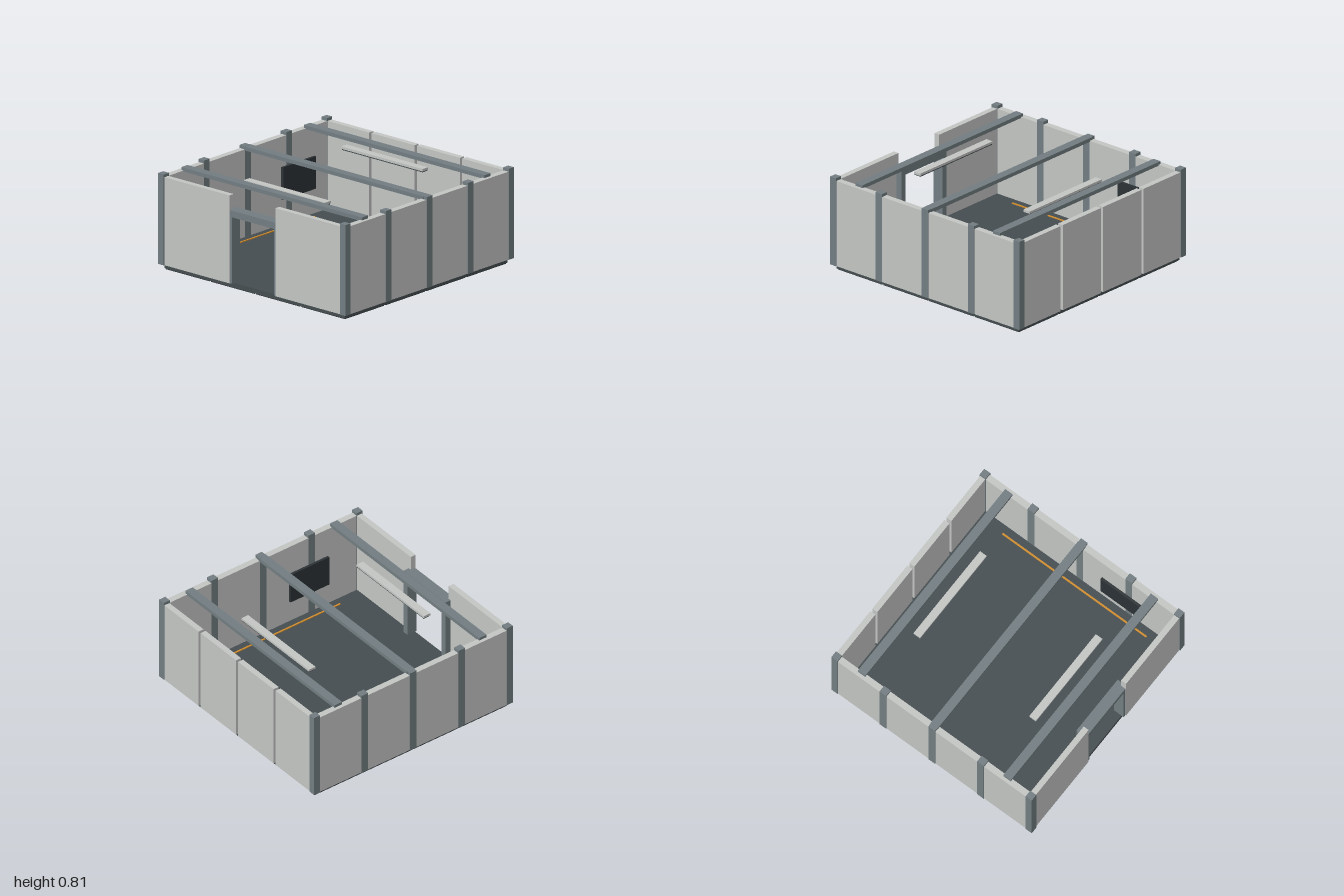
import * as THREE from 'three';

const material = (name, color) => {
  const m = new THREE.MeshStandardMaterial({ color });
  m.name = name;
  return m;
};

export function createModel() {
  const panelGrey = material('pale wall grey', 0xc3c5c3);
  const frameGrey = material('frame steel grey', 0x727d81);
  const floorGrey = material('dark floor grey', 0x454d50);
  const baseDark = material('underside dark grey', 0x33393c);
  const screenDark = material('screen dark', 0x2c3236);
  const orange = material('guide orange', 0xd08c2c);

  const room = new THREE.Group();
  room.name = 'room';

  // Box given by its minimum and maximum on each axis
  const box = (name, mat, [x0, x1], [y0, y1], [z0, z1]) => {
    const mesh = new THREE.Mesh(new THREE.BoxGeometry(x1 - x0, y1 - y0, z1 - z0), mat);
    mesh.position.set((x0 + x1) / 2, (y0 + y1) / 2, (z0 + z1) / 2);
    mesh.name = name;
    room.add(mesh);
    return mesh;
  };
  const around = (c, half) => [c - half, c + half];

  const floorTop = 0.048;
  const wallY = [0.045, 0.78];
  const postY = [0.045, 0.805];
  const bays = [-0.7275, -0.2425, 0.2425, 0.7275];

  // Floor slab on a four by four set of shallow base tiles
  box('floor', floorGrey, [-0.965, 0.965], [0.009, floorTop], [-0.965, 0.965]);
  for (const i of [-1.5, -0.5, 0.5, 1.5])
    for (const j of [-1.5, -0.5, 0.5, 1.5])
      box('baseTile', baseDark, around(i * 0.4825, 0.233), [0, 0.009], around(j * 0.4825, 0.233));

  // Back wall panels, with open joints between them
  for (const x of bays) box('backPanel', panelGrey, around(x, 0.23), wallY, [-0.995, -0.945]);

  for (const s of [-1, 1]) {
    // Side wall panels, corner posts and intermediate posts
    for (const z of bays) box('sidePanel', panelGrey, around(s * 0.968, 0.027), wallY, around(z, 0.23));
    for (const z of [-0.97, 0.97]) box('cornerPost', frameGrey, around(s * 0.97, 0.03), postY, around(z, 0.03));
    for (const z of [-0.4875, 0, 0.4875]) box('sidePost', frameGrey, around(s * 0.97, 0.03), postY, around(z, 0.033));

    // Front wall on each side of the doorway
    box('frontPanel', panelGrey, around(s * 0.593, 0.348), wallY, [0.943, 0.992]);
    box('doorJamb', frameGrey, around(s * 0.246, 0.024), [0.045, 0.602], [0.89, 0.985]);

    // Guide strip on the floor
    box('guideStrip', orange, around(s * 0.87, 0.0075), [floorTop, 0.055], [-0.72, 0.72]);

    // Hanging light bar with a dark lower edge
    box('lightBar', panelGrey, [-0.435, 0.435], [0.755, 0.775], around(s * 0.578, 0.033));
    box('lightTrim', floorGrey, [-0.43, 0.43], [0.746, 0.755], around(s * 0.578, 0.03));
  }

  // Door header
  box('doorHeader', frameGrey, [-0.27, 0.27], [0.6, 0.655], [0.89, 0.985]);

  // Roof beams
  for (const z of [-0.727, 0, 0.727])
    box('roofBeam', frameGrey, [-0.965, 0.965], [0.772, 0.804], around(z, 0.037));

  // Wall screens on opposite sides
  box('leftScreen', screenDark, around(0.905, 0.011), [0.27, 0.54], [0.24, 0.63]);
  box('rightScreen', screenDark, around(-0.907, 0.011), [0.27, 0.54], [-0.76, -0.37]);

  return room;
}
